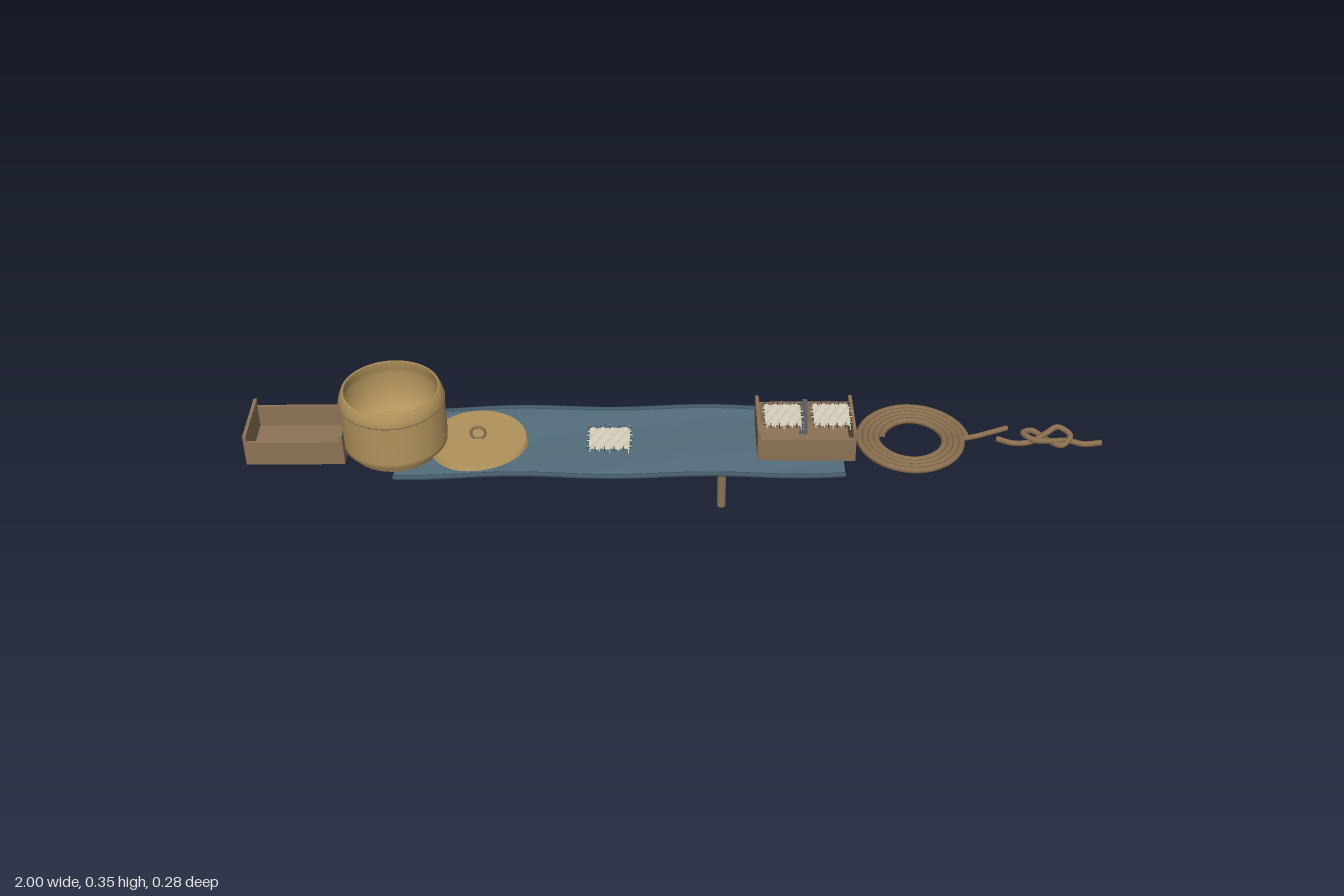
import * as THREE from 'three';

const mat = (name, color, side = THREE.FrontSide) => {
  const m = new THREE.MeshStandardMaterial({ color, side });
  m.name = name;
  return m;
};

export function createModel() {
  const root = new THREE.Group();
  const wood = mat('brown wood', 0x8b7355);
  const gold = mat('tan gold', 0xb0925b, THREE.DoubleSide);
  const rope = mat('rope brown', 0x8a6f50);
  const blue = mat('slate blue cloth', 0x546e7c, THREE.DoubleSide);
  const hem = mat('dark blue hem', 0x425965);
  const linen = mat('pale linen', 0xd6cfbb, THREE.DoubleSide);
  const steel = mat('grey steel', 0x60656a);
  const dark = mat('dark thread', 0x4a4a46);

  const add = (parent, name, geo, m, x = 0, y = 0, z = 0) => {
    const mesh = new THREE.Mesh(geo, m);
    mesh.name = name;
    mesh.position.set(x, y, z);
    parent.add(mesh);
    return mesh;
  };
  const group = (name, x = 0, y = 0, z = 0) => {
    const g = new THREE.Group();
    g.name = name;
    g.position.set(x, y, z);
    root.add(g);
    return g;
  };
  const box = (w, h, d) => new THREE.BoxGeometry(w, h, d);
  const tube = (pts, r, n) => new THREE.TubeGeometry(
    new THREE.CatmullRomCurve3(pts.map(p => new THREE.Vector3(...p))), n, r, 8);

  // Long rippled cloth with rolled hems
  const x0 = -0.655, x1 = 0.385;
  const ripple = (x, z) => 0.192 + 0.004 * Math.sin(x * 14 + 0.6) + 0.002 * Math.sin(z * 28 + x * 5);
  const cloth = group('cloth');
  const sheet = new THREE.PlaneGeometry(x1 - x0, 0.27, 60, 16).rotateX(-Math.PI / 2);
  sheet.translate((x0 + x1) / 2, 0, 0);
  const sp = sheet.attributes.position;
  for (let i = 0; i < sp.count; i++) sp.setY(i, ripple(sp.getX(i), sp.getZ(i)));
  sheet.computeVertexNormals();
  add(cloth, 'clothSheet', sheet, blue);
  for (const z of [-0.132, 0.132]) {
    const pts = [];
    for (let i = 0; i <= 30; i++) {
      const x = x0 + (x1 - x0) * i / 30;
      pts.push([x, ripple(x, z), z]);
    }
    add(cloth, 'clothHem', tube(pts, 0.006, 80), hem);
  }

  // Two open trays with low sides and taller ends
  const tray = (name, xa, xb) => {
    const t = group(name, (xa + xb) / 2, 0.187, 0);
    const w = xb - xa, th = 0.008, hz = 0.076;
    add(t, 'trayFloor', box(w, th, hz * 2), wood, 0, th / 2, 0);
    for (const s of [-1, 1]) {
      add(t, 'traySide', box(w - th * 2, 0.062, th), wood, 0, 0.031, s * (hz - th / 2));
      add(t, 'trayEnd', box(th, 0.08, hz * 2), wood, s * (w / 2 - th / 2), 0.04, 0);
    }
  };
  tray('outerTray', -1, -0.772);
  tray('clothTray', 0.184, 0.412);

  // Round open pot with a shoulder ring and a drooping tail
  const pot = group('pot', -0.661, 0, 0.003);
  const profile = [[0, 0.203], [0.114, 0.203], [0.121, 0.208], [0.122, 0.22], [0.122, 0.321],
    [0.12, 0.334], [0.114, 0.35], [0.11, 0.353], [0.106, 0.35], [0.112, 0.33], [0.114, 0.315],
    [0.114, 0.215], [0, 0.211]];
  add(pot, 'potBody', new THREE.LatheGeometry(profile.map(p => new THREE.Vector2(...p)), 48), gold);
  add(pot, 'potRing', new THREE.TorusGeometry(0.1215, 0.002, 6, 48).rotateX(Math.PI / 2), wood, 0, 0.321, 0);
  add(pot, 'potFoot', new THREE.CylinderGeometry(0.112, 0.105, 0.016, 40), gold, 0, 0.196, 0);
  add(root, 'potTail', tube([[-0.74, 0.2, 0], [-0.765, 0.182, 0], [-0.79, 0.162, 0],
    [-0.815, 0.152, 0], [-0.838, 0.148, 0]], 0.007, 24), gold);

  // Flat lid with a ring handle
  const lid = group('lid', -0.468, 0, 0);
  add(lid, 'lidDisc', new THREE.CylinderGeometry(0.112, 0.118, 0.012, 48), gold, 0, 0.197, 0);
  add(lid, 'lidRing', new THREE.TorusGeometry(0.017, 0.0035, 8, 28), wood, 0, 0.219, 0);

  // Woven swatches with loose threads
  const swatch = (name, x, y, z, w, d) => {
    const s = group(name, x, y, z);
    const g = new THREE.PlaneGeometry(w, d, 10, 10).rotateX(-Math.PI / 2);
    const p = g.attributes.position;
    for (let i = 0; i < p.count; i++) p.setY(i, 0.0025 * Math.sin(i * 2.4));
    g.computeVertexNormals();
    add(s, 'weave', g, linen);
    for (let i = 0; i < 9; i++) {
      const f = (i / 8 - 0.5) * 0.94, len = 0.012 + 0.005 * Math.sin(i * 5);
      for (const e of [-1, 1]) {
        add(s, 'endThread', box(0.002, 0.002, len), i % 2 ? dark : linen,
          f * w, 0.003 * Math.sin(i * 3), e * (d / 2 + len / 2 - 0.003));
        add(s, 'sideThread', box(len * 0.5, 0.002, 0.002), i % 2 ? linen : dark,
          e * (w / 2 + 0.002), 0.003 * Math.cos(i * 4), f * d);
      }
      add(s, 'knotThread', box(0.002, 0.013, 0.002), dark, f * w, 0, (i % 2 - 0.5) * d);
    }
  };
  swatch('clothSwatch', -0.16, 0.202, 0.002, 0.095, 0.085);
  swatch('traySwatch', 0.244, 0.276, 0.015, 0.084, 0.085);
  swatch('traySwatch', 0.357, 0.276, 0.015, 0.084, 0.085);

  // Upright scissors standing through the tray
  const shears = group('scissors', 0.297, 0, -0.02);
  for (const s of [-1, 1]) {
    add(shears, 'fingerLoop', new THREE.TorusGeometry(0.012, 0.0028, 8, 24), steel, s * 0.0155, 0.164, 0);
    const blade = add(shears, 'blade', box(0.008, 0.12, 0.003), steel, s * 0.004, 0.234, s * 0.0015);
    blade.rotation.z = s * 0.04;
  }
  add(shears, 'pivot', new THREE.CylinderGeometry(0.004, 0.004, 0.008, 12).rotateX(Math.PI / 2), steel, 0, 0.2, 0);

  // Brush hanging below the cloth
  const brush = group('brush', 0.105, 0, 0.003);
  add(brush, 'brushHandle', new THREE.CylinderGeometry(0.0105, 0.0105, 0.155, 16), wood, 0, 0.0775, 0);
  add(brush, 'brushCollar', new THREE.CylinderGeometry(0.0135, 0.011, 0.012, 16), wood, 0, 0.157, 0);
  add(brush, 'brushNeck', new THREE.CylinderGeometry(0.009, 0.009, 0.024, 12), steel, 0, 0.173, 0);
  for (const z of [-0.014, 0, 0.014])
    add(brush, 'brushStrip', box(0.09, 0.006, 0.01), z ? linen : steel, 0, 0.181, z + 0.008);

  // Flat rope coil with a loose end
  const coil = [];
  const turns = 4.5, steps = 144;
  for (let i = 0; i <= steps; i++) {
    const t = i / steps, a = t * turns * Math.PI * 2 + Math.PI, r = 0.07 + 0.06 * t;
    coil.push([0.552 + r * Math.cos(a), 0.19 + 0.001 * Math.sin(a * 3), -0.004 + r * Math.sin(a)]);
  }
  const coils = group('ropeCoil');
  add(coils, 'coiledRope', tube(coil, 0.0078, 400), rope);
  add(coils, 'ropeEnd', tube([[0.672, 0.19, -0.004], [0.705, 0.191, -0.012],
    [0.742, 0.195, -0.022], [0.782, 0.194, -0.04]], 0.0065, 20), rope);

  // Figure-eight knot
  add(root, 'ropeKnot', tube([[0.752, 0.192, 0], [0.79, 0.192, 0.018], [0.83, 0.196, 0.018],
    [0.87, 0.204, -0.006], [0.9, 0.206, -0.026], [0.926, 0.198, -0.004], [0.902, 0.19, 0.025],
    [0.87, 0.19, 0.002], [0.84, 0.196, -0.026], [0.814, 0.204, -0.006], [0.836, 0.205, 0.024],
    [0.875, 0.196, 0.016], [0.92, 0.188, 0.004], [0.955, 0.188, 0.018], [0.997, 0.189, 0.014]],
    0.007, 160), rope);

  return root;
}
